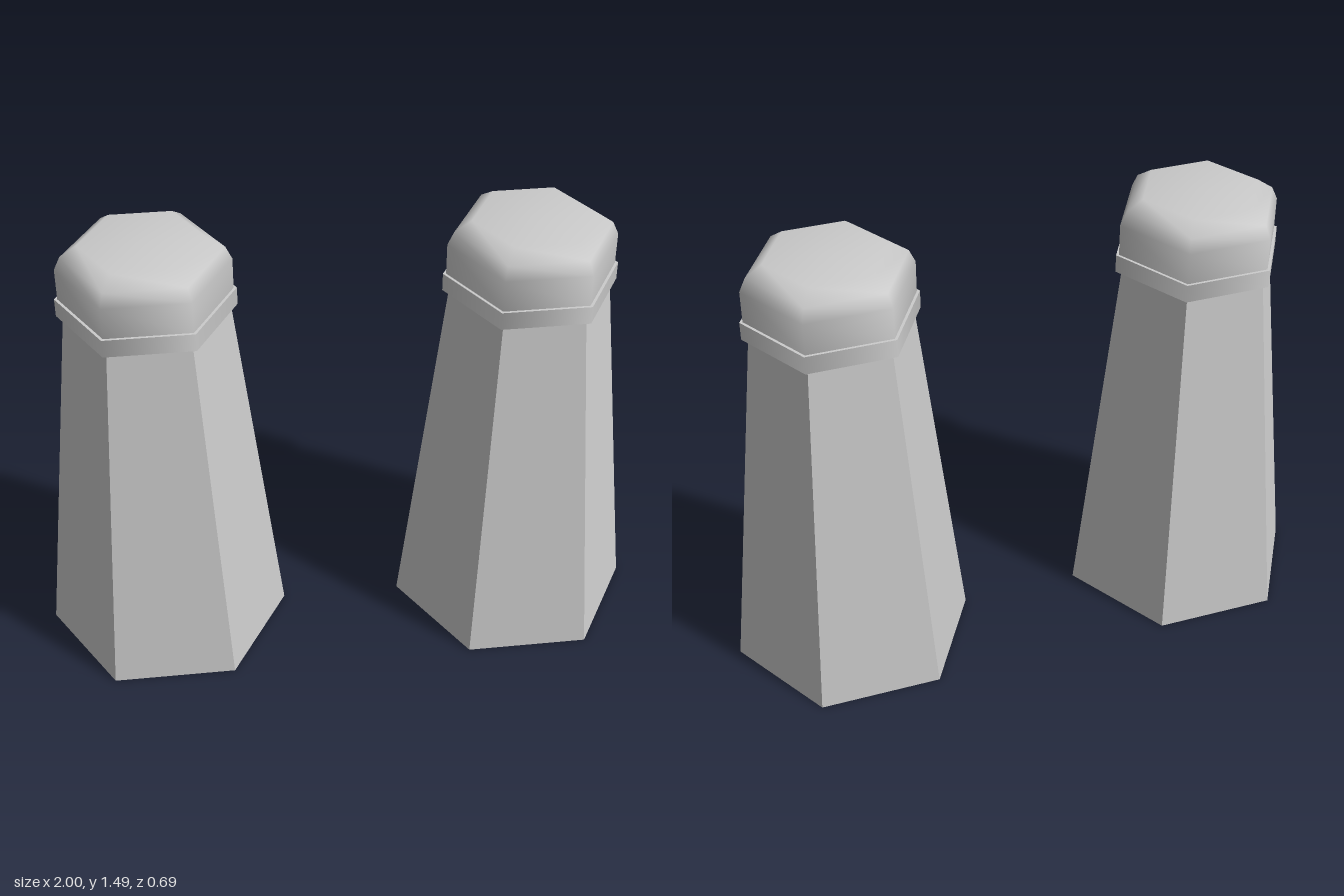
import * as THREE from 'three';

const SIDES = 6;

function addPart(parent, name, geometry, y, flatShading) {
  const material = new THREE.MeshStandardMaterial({ color: 0xcccccc, flatShading });
  const mesh = new THREE.Mesh(geometry, material);
  mesh.name = name;
  mesh.position.y = y;
  parent.add(mesh);
}

function createShaker(name, x) {
  const shaker = new THREE.Group();
  shaker.name = name;
  shaker.position.x = x;
  // Turn so that two corners of the hexagon lie on the x axis
  shaker.rotation.y = Math.PI / 6;

  // Tapered faceted body
  addPart(shaker, 'body', new THREE.CylinderGeometry(0.258, 0.4, 1.24, SIDES), 0.62, true);

  // Collar around the foot of the cap
  addPart(shaker, 'collar', new THREE.CylinderGeometry(0.279, 0.279, 0.06, SIDES), 1.27, false);

  // Cap with a softly rounded shoulder
  const profile = [
    [0.269, 0], [0.269, 0.105], [0.249, 0.148], [0.196, 0.185], [0, 0.185],
  ].map(([r, y]) => new THREE.Vector2(r, y));
  addPart(shaker, 'cap', new THREE.LatheGeometry(profile, SIDES), 1.3, false);

  return shaker;
}

export function createModel() {
  const model = new THREE.Group();
  model.name = 'shakerPair';
  model.add(createShaker('leftShaker', 0.6), createShaker('rightShaker', -0.6));
  return model;
}
